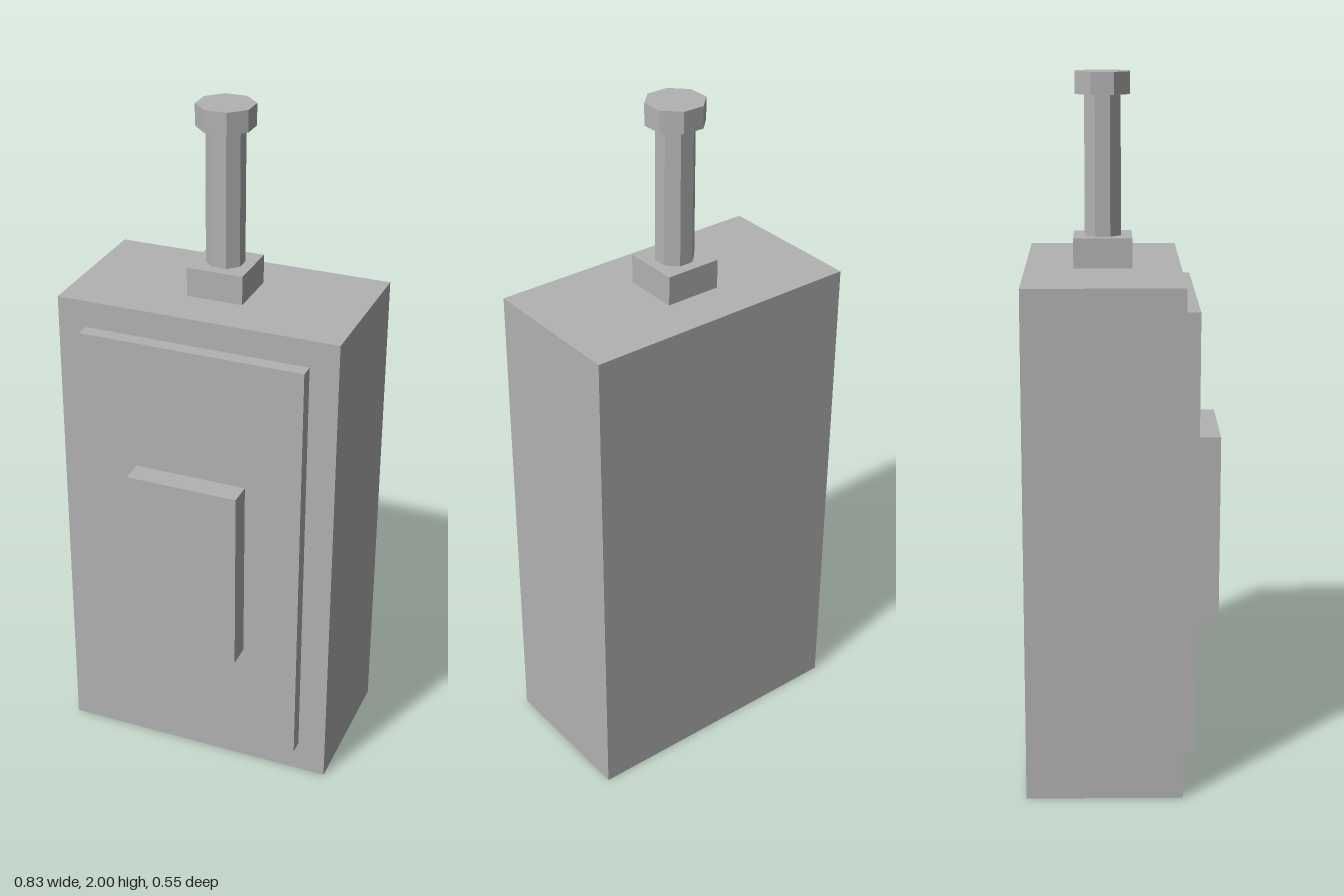
import * as THREE from 'three';

export function createModel() {
  const model = new THREE.Group();
  const grey = new THREE.MeshStandardMaterial({ color: 0xb2b2b2 });
  grey.name = 'grey';

  const add = (name, geometry, y, z) => {
    const mesh = new THREE.Mesh(geometry, grey);
    mesh.name = name;
    mesh.position.set(0, y, z);
    model.add(mesh);
  };
  // Box centred on x, given by its width and its y and z ranges
  const box = (name, width, y0, y1, z0, z1) =>
    add(name, new THREE.BoxGeometry(width, y1 - y0, z1 - z0), (y0 + y1) / 2, (z0 + z1) / 2);
  // Upright octagonal prism with flat sides facing the axes
  const octagon = (name, apothem, y0, y1, z) => {
    const radius = apothem / Math.cos(Math.PI / 8);
    const geometry = new THREE.CylinderGeometry(radius, radius, y1 - y0, 8).rotateY(Math.PI / 8);
    const faceted = geometry.toNonIndexed();
    faceted.computeVertexNormals();
    add(name, faceted, (y0 + y1) / 2, z);
  };

  // Case with a stepped front
  box('body', 0.832, 0, 1.459, -0.277, 0.165);
  box('frontPanel', 0.664, 0.098, 1.379, 0.165, 0.207);
  box('frontPlate', 0.332, 0.432, 0.989, 0.207, 0.277);

  // Plunger on top
  const plungerZ = -0.057;
  box('plungerBase', 0.166, 1.459, 1.544, plungerZ - 0.083, plungerZ + 0.083);
  octagon('plungerRod', 0.051, 1.544, 1.938, plungerZ);
  octagon('plungerCap', 0.077, 1.938, 2, plungerZ);

  return model;
}
